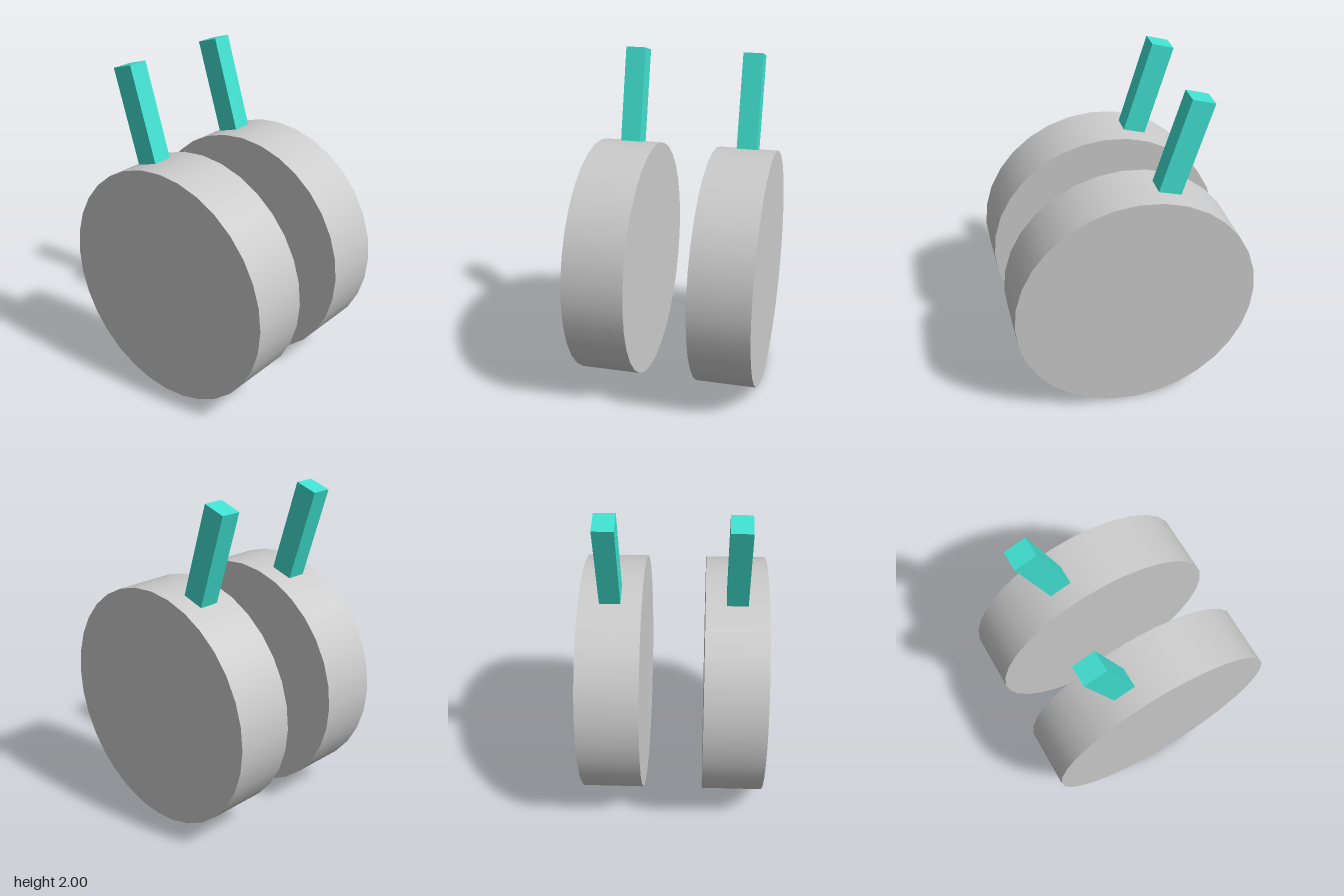
import * as THREE from 'three';

const RADIUS = 0.731, CENTRE_Y = 0.733, THICKNESS = 0.366, OFFSET_Z = 0.365;
const TILT = 0.3, LEVER_START = 0.62, LEVER_END = 1.305;

export function createModel() {
  const model = new THREE.Group();
  model.name = 'twinDiscLevers';

  const grey = new THREE.MeshStandardMaterial({ color: 0xcccccc });
  const turquoise = new THREE.MeshStandardMaterial({ color: 0x40e0d0 });

  // Disc lying along z
  const discGeometry = new THREE.CylinderGeometry(RADIUS, RADIUS, THICKNESS, 32);
  discGeometry.rotateX(Math.PI / 2);

  // Lever pointing out from the disc centre, its foot sunk in the rim
  const leverGeometry = new THREE.BoxGeometry(0.14, LEVER_END - LEVER_START, 0.122);
  leverGeometry.translate(0, (LEVER_START + LEVER_END) / 2, 0);

  // One disc and lever at the front, one at the back
  for (const [side, sign] of [['front', 1], ['back', -1]]) {
    const unit = new THREE.Group();
    unit.name = side + 'Unit';
    unit.position.set(0, CENTRE_Y, sign * OFFSET_Z);

    const disc = new THREE.Mesh(discGeometry, grey);
    disc.name = side + 'Disc';

    const lever = new THREE.Mesh(leverGeometry, turquoise);
    lever.name = side + 'Lever';
    lever.rotation.z = TILT;

    unit.add(disc, lever);
    model.add(unit);
  }
  return model;
}
